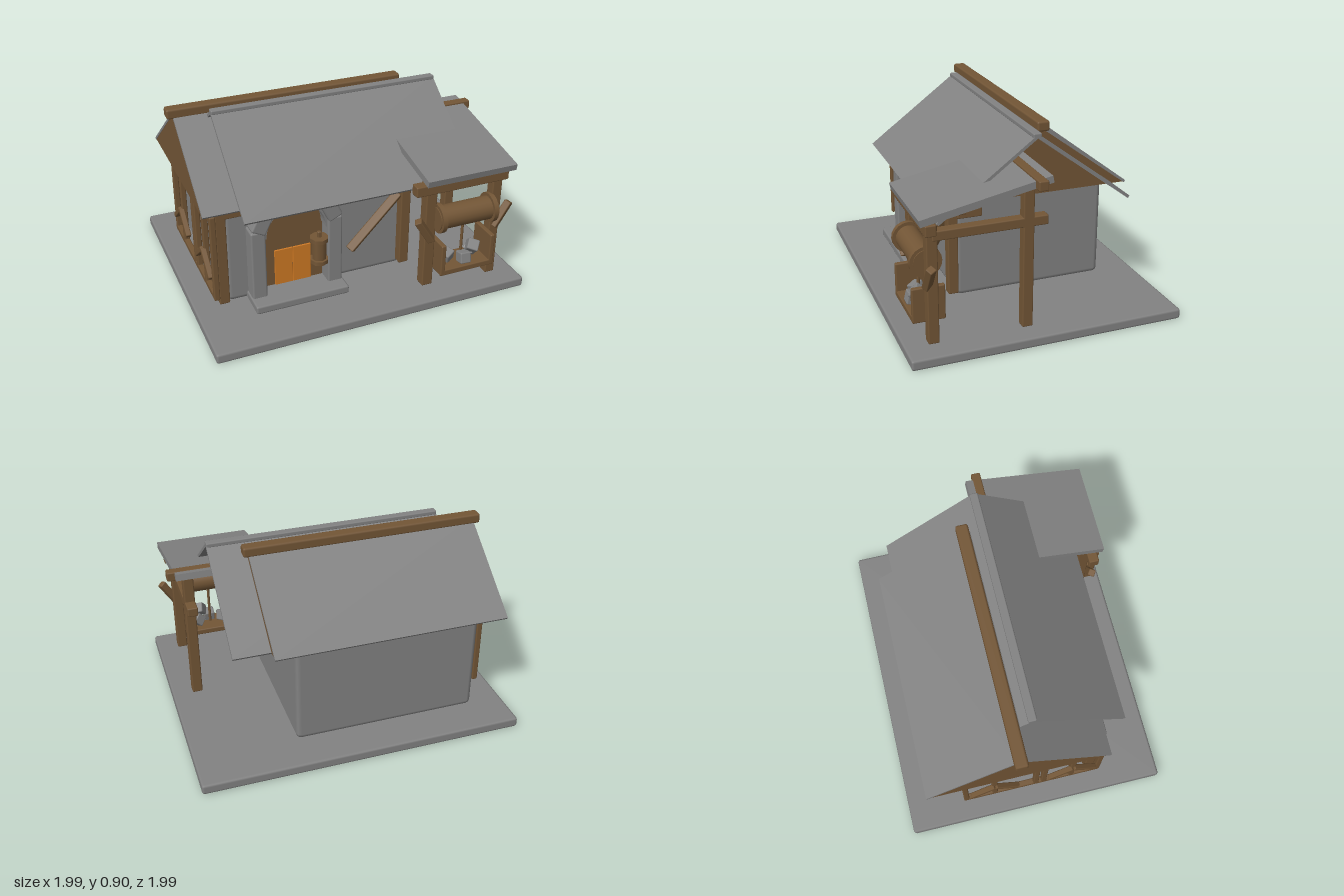
import * as THREE from 'three';
import { RoundedBoxGeometry } from 'three/addons/geometries/RoundedBoxGeometry.js';

export function createModel() {
  const mat = (name, color) => {
    const m = new THREE.MeshStandardMaterial({ color });
    m.name = name;
    return m;
  };
  const stone = mat('stone grey', 0x828282);
  const wood = mat('timber brown', 0x735636);
  const glow = mat('door orange', 0xd07a24);

  const model = new THREE.Group();
  model.name = 'workshop';
  // the whole building stands diagonally: local x runs along the ridge, local z to the door side
  const yard = new THREE.Group();
  yard.name = 'yard';
  yard.rotation.y = Math.PI / 4;
  model.add(yard);

  const add = (name, geo, m, x = 0, y = 0, z = 0) => {
    const mesh = new THREE.Mesh(geo, m);
    mesh.name = name;
    mesh.position.set(x, y, z);
    yard.add(mesh);
    return mesh;
  };
  // softly bevelled block given by its ranges
  const block = (name, m, [x0, x1], [y0, y1], [z0, z1], r = 0.006) =>
    add(name, new RoundedBoxGeometry(x1 - x0, y1 - y0, z1 - z0, 1, r), m,
      (x0 + x1) / 2, (y0 + y1) / 2, (z0 + z1) / 2);
  const post = (name, x, z, y0, y1, w = 0.05) =>
    block(name, wood, [x - w / 2, x + w / 2], [y0, y1], [z - w / 2, z + w / 2]);
  // square bar between two points
  const bar = (name, a, b, w = 0.04, m = wood) => {
    const p = new THREE.Vector3(...a), q = new THREE.Vector3(...b);
    const mesh = add(name, new RoundedBoxGeometry(w, w, p.distanceTo(q), 1, 0.005), m);
    mesh.position.copy(p).add(q).multiplyScalar(0.5);
    mesh.quaternion.setFromUnitVectors(new THREE.Vector3(0, 0, 1), q.sub(p).normalize());
    return mesh;
  };
  // sloping roof sheet from a high edge to a low edge
  const slab = (name, x0, x1, [zh, yh], [zl, yl], t) => {
    const dz = zl - zh, dy = yl - yh;
    const mesh = add(name, new THREE.BoxGeometry(x1 - x0, t, Math.hypot(dz, dy)), stone,
      (x0 + x1) / 2, (yh + yl) / 2, (zh + zl) / 2);
    mesh.rotation.x = Math.atan2(-dy, dz);
    return mesh;
  };

  // ground slab and house walls
  block('groundSlab', stone, [-0.774, 0.774], [0, 0.05], [-0.64, 0.64], 0.012);
  block('houseWalls', stone, [-0.61, 0.285], [0.045, 0.565], [-0.46, 0.28], 0.025);

  // timber loft under the wide roof
  const gable = new THREE.Shape([
    new THREE.Vector2(-0.425, 0.557), new THREE.Vector2(0.425, 0.557), new THREE.Vector2(0, 0.868)]);
  const loft = add('timberLoft',
    new THREE.ExtrudeGeometry(gable, { depth: 1.11, bevelEnabled: false }), wood, -0.718, 0, -0.09);
  loft.rotation.y = Math.PI / 2;

  // two overlapping pitched roofs with their ridges
  for (const s of [-1, 1]) {
    slab('wideRoofSide', -0.72, 0.395, [-0.09, 0.875], [-0.09 + s * 0.433, 0.558], 0.012);
    slab('upperRoofSide', -0.566, 0.566, [0, 0.89], [s * 0.452, 0.553], 0.014);
  }
  block('ridgeBeam', wood, [-0.75, 0.42], [0.857, 0.905], [-0.122, -0.062], 0.01);
  block('upperRidge', stone, [-0.566, 0.566], [0.882, 0.904], [-0.02, 0.02]);

  // eave beam, corner posts and brace on the door side
  block('eaveBeam', wood, [-0.66, 0.42], [0.515, 0.56], [0.275, 0.32]);
  post('cornerPost', -0.635, 0.295, 0.07, 0.56);
  post('cornerPost', 0.28, 0.3, 0.07, 0.53);
  bar('wallBrace', [0.0, 0.2, 0.3], [0.25, 0.46, 0.3], 0.042);
  block('beamBracket', wood, [0.245, 0.315], [0.45, 0.515], [0.16, 0.28]);

  // timber frame in front of the gable wall
  const fx = -0.675;
  for (const z of [-0.345, -0.2, 0.01, 0.05, 0.19, 0.325]) post('framePost', fx, z, 0.11, 0.55, 0.028);
  for (const y of [0.125, 0.53]) bar('frameRail', [fx, y, -0.355], [fx, y, 0.335], 0.028);
  for (const z of [-0.2, 0.19]) {
    for (const s of [-1, 1]) {
      bar('frameChevron', [fx - 0.015, 0.31, z], [fx - 0.015, 0.215, z + s * 0.115], 0.026);
    }
  }

  // arched doorway
  const dx = -0.29;
  const arch = (r, base) => {
    const s = new THREE.Shape();
    s.moveTo(-r, base);
    s.lineTo(r, base);
    s.lineTo(r, 0.39);
    s.absarc(0, 0.39, r, 0, Math.PI, false);
    s.lineTo(-r, base);
    return s;
  };
  add('doorRecess', new THREE.ExtrudeGeometry(arch(0.15, 0.07), { depth: 0.008, bevelEnabled: false }),
    wood, dx, 0, 0.279);
  const ring = new THREE.Shape();
  ring.absarc(0, 0.39, 0.17, 0, Math.PI, false);
  ring.absarc(0, 0.39, 0.145, Math.PI, 0, true);
  add('archRing', new THREE.ExtrudeGeometry(ring, { depth: 0.07, bevelEnabled: false }),
    stone, dx, 0, 0.28);
  for (const s of [-1, 1]) {
    block('doorPillar', stone, [dx + s * 0.187 - 0.036, dx + s * 0.187 + 0.036],
      [0.05, 0.44], [0.28, 0.365], 0.01);
    const cap = add('archStone', new RoundedBoxGeometry(0.075, 0.1, 0.095, 1, 0.01), stone,
      dx + s * 0.168, 0.48, 0.325);
    cap.rotation.z = s * 0.45;
    block('doorLeaf', glow, [dx + (s < 0 ? -0.09 : 0.001), dx + (s < 0 ? -0.001 : 0.09)],
      [0.09, 0.28], [0.286, 0.295], 0.002);
  }
  block('doorStep', stone, [dx - 0.23, dx + 0.23], [0.05, 0.092], [0.28, 0.435], 0.01);

  // lantern beside the door
  add('lanternBody', new THREE.CylinderGeometry(0.038, 0.034, 0.12, 8), wood, -0.18, 0.275, 0.352);
  for (const y of [0.22, 0.335])
    add('lanternRim', new THREE.CylinderGeometry(0.045, 0.045, 0.02, 8), wood, -0.18, y, 0.352);
  post('lanternHook', -0.18, 0.352, 0.34, 0.375, 0.02);

  // lean-to canopy with posts and beams
  slab('canopyRoof', 0.255, 0.714, [-0.01, 0.75], [0.573, 0.633], 0.032);
  block('canopyTopBeam', wood, [0.3, 0.75], [0.715, 0.76], [0.025, 0.07]);
  post('canopyPost', 0.31, 0.49, 0.05, 0.6, 0.055);
  post('canopyPost', 0.645, 0.51, 0.05, 0.6);
  post('canopyPost', 0.65, 0.08, 0.05, 0.72);
  block('canopyFrontBeam', wood, [0.215, 0.695], [0.56, 0.612], [0.495, 0.545]);
  block('canopySideBeam', wood, [0.625, 0.675], [0.53, 0.575], [-0.01, 0.51]);
  bar('canopyBrace', [0.31, 0.31, 0.53], [0.235, 0.43, 0.53], 0.035);
  bar('canopyBrace', [0.645, 0.31, 0.53], [0.72, 0.43, 0.53], 0.035);

  // hoist drum and rope
  const drum = (name, r, len, x) => {
    add(name, new THREE.CylinderGeometry(r, r, len, 20), wood, x, 0.42, 0.525).rotation.z = Math.PI / 2;
  };
  drum('hoistDrum', 0.057, 0.3, 0.48);
  for (const x of [0.345, 0.615]) drum('drumFlange', 0.072, 0.022, x);
  add('hoistRope', new THREE.CylinderGeometry(0.007, 0.007, 0.22, 8), wood, 0.48, 0.275, 0.52);

  // stone crate hanging on the rope
  block('crateFloor', wood, [0.345, 0.615], [0.135, 0.165], [0.44, 0.59]);
  for (const x of [0.35, 0.61])
    block('crateEnd', wood, [x - 0.012, x + 0.012], [0.135, 0.3], [0.44, 0.59]);
  for (const [x, y, z, t] of [[0.41, 0.195, 0.51, 0.3], [0.48, 0.19, 0.55, 0.9],
    [0.55, 0.197, 0.5, 1.4], [0.53, 0.235, 0.54, 0.6]]) {
    add('crateStone', new RoundedBoxGeometry(0.055, 0.055, 0.055, 1, 0.006), stone, x, y, z)
      .rotation.set(t, t * 1.7, t * 0.5);
  }
  return model;
}
